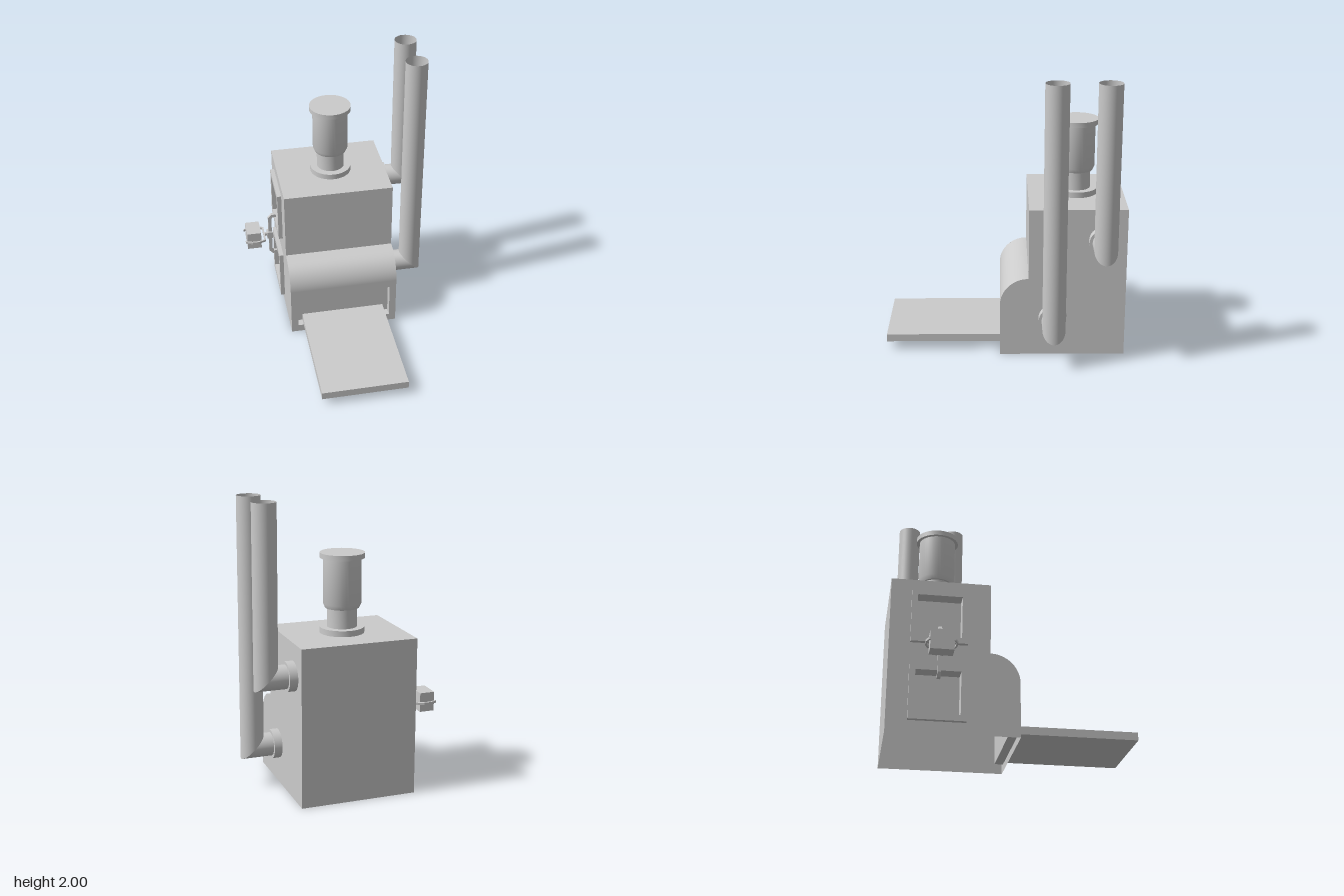
import * as THREE from 'three';
import { toCreasedNormals } from 'three/addons/utils/BufferGeometryUtils.js';

const mat = new THREE.MeshStandardMaterial({ color: 0xcccccc, side: THREE.DoubleSide });

export function createModel() {
  const root = new THREE.Group();
  const add = (name, geo, x = 0, y = 0, z = 0) => {
    const mesh = new THREE.Mesh(geo, mat);
    mesh.name = name;
    mesh.position.set(x, y, z);
    root.add(mesh);
    return mesh;
  };
  // Box given by its two extreme corners
  const box = (name, a, b, openFace = -1) => {
    const g = new THREE.BoxGeometry(b[0] - a[0], b[1] - a[1], b[2] - a[2]);
    if (openFace >= 0) {
      const idx = Array.from(g.index.array);
      idx.splice(openFace * 6, 6);
      g.setIndex(idx);
      g.clearGroups();
    }
    return add(name, g, (a[0] + b[0]) / 2, (a[1] + b[1]) / 2, (a[2] + b[2]) / 2);
  };
  const poly = (pts) => new THREE.Shape(pts.map((p) => new THREE.Vector2(...p)));
  const rect = (x0, y0, x1, y1) => poly([[x0, y0], [x1, y0], [x1, y1], [x0, y1]]);
  const extrude = (shape, depth) => new THREE.ExtrudeGeometry(shape, { depth, bevelEnabled: false });

  // Hollow housing, open underneath
  const W = 0.4, F = 0.035, S = -0.165, B = -0.84, H = 1.08, R = 0.2, A = 0.375;
  const windows = [[0.08, 0.46], [0.62, 1.0]];
  const z0 = -0.7, z1 = -0.32, rim = 0.04;
  const sideShape = () => {
    const s = new THREE.Shape();
    s.moveTo(B, 0);
    s.lineTo(F, 0);
    s.lineTo(F, A);
    s.absarc(S, A, R, 0, Math.PI / 2, false);
    s.lineTo(S, H);
    s.lineTo(B, H);
    return s;
  };
  const leftWall = sideShape(), rightWall = sideShape();
  for (const [y0, y1] of windows) rightWall.holes.push(rect(z0 + rim, y0 + rim, z1 - rim, y1 - rim));
  add('leftWall', new THREE.ShapeGeometry(leftWall, 24).rotateY(-Math.PI / 2), W);
  add('rightWall', new THREE.ShapeGeometry(rightWall, 24).rotateY(-Math.PI / 2), -W);

  const front = rect(-W, 0, W, A);
  front.holes.push(rect(-0.35, 0.055, 0.35, 0.32));
  add('frontWall', new THREE.ShapeGeometry(front), 0, 0, F);
  add('roundedShoulder',
    new THREE.CylinderGeometry(R, R, 2 * W, 24, 1, true, 0, Math.PI / 2).rotateZ(Math.PI / 2), 0, A, S);
  add('upperFrontWall', new THREE.PlaneGeometry(2 * W, H - A - R), 0, (H + A + R) / 2, S);
  add('roof', new THREE.PlaneGeometry(2 * W, S - B).rotateX(-Math.PI / 2), 0, H, (S + B) / 2);
  add('backWall', new THREE.PlaneGeometry(2 * W, H).rotateY(Math.PI), 0, H / 2, B);

  // Front mouth and feed table
  box('frontRecess', [-0.35, 0.055, F - 0.06], [0.35, 0.32, F], 4);
  box('feedTable', [-0.31, 0.055, F - 0.06], [0.31, 0.11, 0.84]);

  // Framed windows on the right wall
  for (const [y0, y1] of windows) {
    const frame = rect(z0, y0, z1, y1);
    frame.holes.push(rect(z0 + rim, y0 + rim, z1 - rim, y1 - rim));
    add('windowFrame', extrude(frame, 0.03).rotateY(-Math.PI / 2), -W);
    box('windowRecess', [-W, y0 + rim, z0 + rim], [-W + 0.07, y1 - rim, z1 - rim], 1);
  }

  // Bracket joining the windows, with hub and yoke
  const Z = -0.51, Y = 0.54;
  const mirrored = (half) => poly([...half, ...half.map(([x, y]) => [x, -y]).reverse()]);
  const bracket = mirrored([
    [-0.46, 0.145], [-0.45, 0.157], [-0.425, 0.157], [-0.425, 0.18], [-0.46, 0.18], [-0.485, 0.152],
  ]);
  // The outline's closing edges run along the inner and outer sides of the bar
  add('bracket', extrude(bracket, 0.024), 0, Y, Z - 0.012);
  box('hub', [-0.497, 0.513, Z - 0.025], [-0.455, 0.567, Z + 0.025]);
  box('stem', [-0.525, 0.53, Z - 0.01], [-0.49, 0.55, Z + 0.01]);
  const yoke = mirrored([
    [-0.527, 0.075], [-0.57, 0.092], [-0.62, 0.092], [-0.67, 0.073],
    [-0.67, 0.085], [-0.62, 0.105], [-0.57, 0.105], [-0.53, 0.09], [-0.515, 0.083],
  ]);
  add('yoke', extrude(yoke, 0.016).rotateX(-Math.PI / 2), 0, Y - 0.008, Z);
  box('counterweight', [-0.655, 0.475, Z - 0.078], [-0.55, 0.61, Z + 0.078]);

  // Short capped chimney
  const profile = [
    [0, 1.08], [0.15, 1.08], [0.15, 1.12], [0.1, 1.12], [0.1, 1.25], [0.115, 1.25],
    [0.128, 1.28], [0.128, 1.585], [0.15, 1.585], [0.15, 1.62], [0, 1.62],
  ].map((p) => new THREE.Vector2(...p));
  add('chimney', toCreasedNormals(new THREE.LatheGeometry(profile, 40), 0.5), 0, 0, -0.505);

  // Two mitred exhaust pipes with wall flanges
  const r = 0.08, px = 0.587;
  for (const [py, pz] of [[0.28, -0.335], [0.86, -0.675]]) {
    add('pipeFlange',
      new THREE.CylinderGeometry(0.1, 0.1, 0.055, 36).rotateZ(Math.PI / 2), W + 0.0275, py, pz);
    const elbow = new THREE.CylinderGeometry(r, r, 1, 36, 1, true).rotateZ(Math.PI / 2);
    const riser = new THREE.CylinderGeometry(r, r, 1, 36, 1, true);
    const e = elbow.attributes.position, v = riser.attributes.position;
    for (let i = 0; i < e.count; i++) {
      e.setX(i, e.getX(i) > 0 ? -e.getY(i) : W - px);
      v.setY(i, v.getY(i) > 0 ? 2 - py : -v.getX(i));
    }
    add('pipeElbow', elbow, px, py, pz);
    add('pipeRiser', riser, px, py, pz);
  }
  return root;
}
